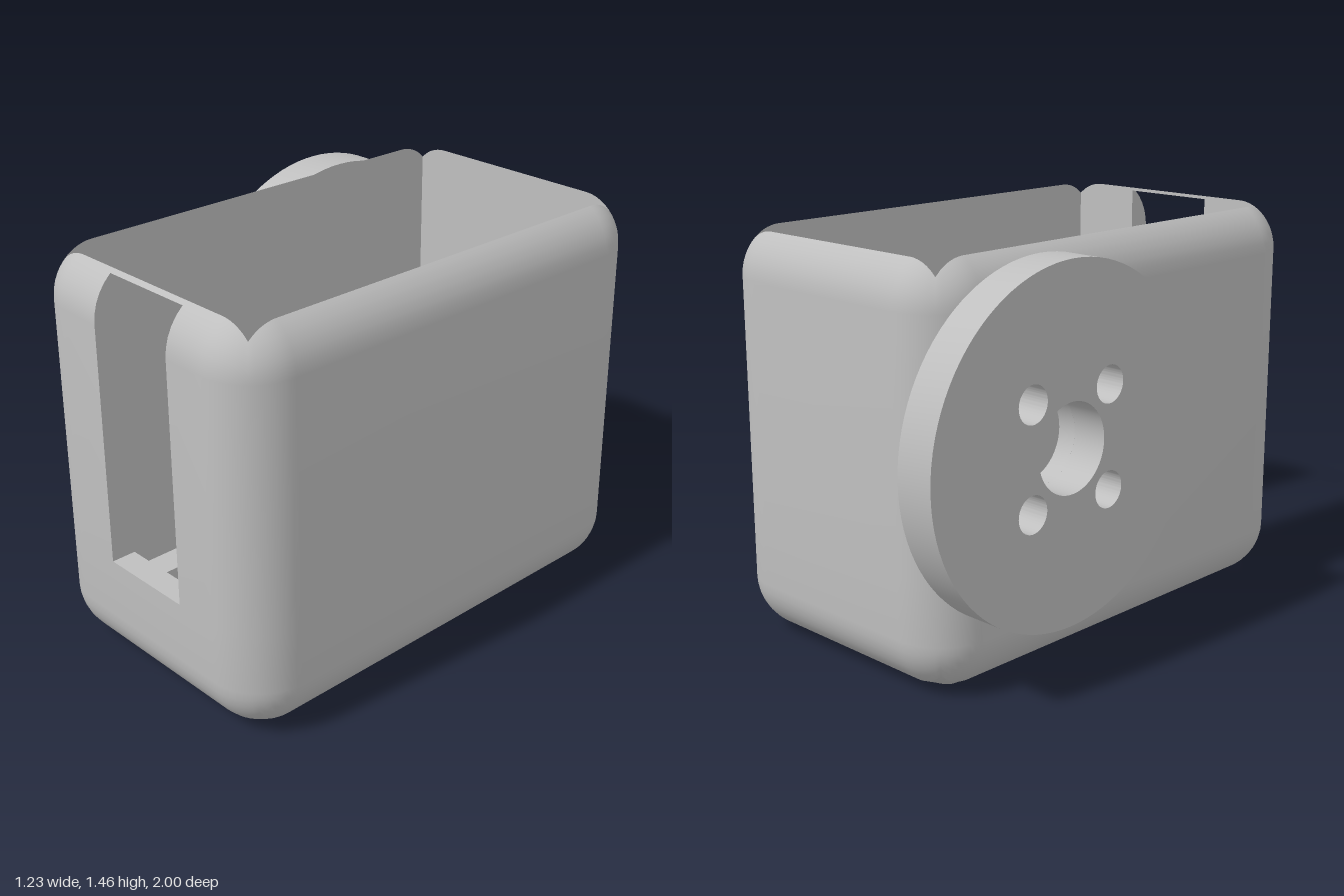
import * as THREE from 'three';
import { mergeGeometries, toCreasedNormals } from 'three/addons/utils/BufferGeometryUtils.js';

const R = 0.2, CX = 0.0625, CZ = 0.075, HX = 0.3475, HZ = 0.725; // fillet radius, fillet-centre rectangle
const CAV = { x0: -0.4, x1: 0.525, z0: -0.77, z1: 0.91 };         // cavity in plan
const FLOOR = 0.15, SHELF = 0.1, POCKET = 0.08, TOP = 1.29;
const SLOT = { x0: -0.12, x1: 0.245, y0: 0.42, y1: 1.445 };
const DISC = { y: 0.822, z: -0.385, r: 0.615, bore: 0.155 };
const SEG = 48;

const plan = (cx, cz, r, y) => Array.from({ length: SEG }, (_, i) => {
  const a = (i / SEG) * Math.PI * 2, x = cx + r * Math.cos(a), z = cz + r * Math.sin(a);
  return [x, typeof y === 'function' ? y(x, z) : y, z];
});
const rectPlan = (x0, x1, z0, z1, y) => [[x0, y, z0], [x1, y, z0], [x1, y, z1], [x0, y, z1]];

// Underside height with its rounded edges
function under(x, z) {
  const u = Math.max(Math.abs(x - CX) - HX, 0), v = Math.max(Math.abs(z - CZ) - HZ, 0);
  return R - Math.sqrt(Math.max(R * R - u * u - v * v, 0));
}

function shapeOf(points, holes = []) {
  const s = new THREE.Shape(points.map(([a, b]) => new THREE.Vector2(a, b)));
  s.holes = holes.map(h => new THREE.Path(h.map(([a, b]) => new THREE.Vector2(a, b))));
  return s;
}
const bare = g => {
  const n = g.index ? g.toNonIndexed() : g;
  n.deleteAttribute('uv');
  n.deleteAttribute('normal');
  return n;
};

function shellGeometry() {
  const pos = [];
  const quad = (a, b, c, d) => pos.push(...a, ...b, ...c, ...a, ...c, ...d);
  const band = (A, B) => A.forEach((p, i) => {
    const k = (i + 1) % A.length;
    quad(p, B[i], B[k], A[k]);
  });
  const sweep = loops => loops.slice(1).forEach((l, i) => band(loops[i], l));

  // Columns around the rounded outline; each arc ends on the cavity rectangle
  const cols = [];
  for (const [sx, sz] of [[1, 1], [-1, 1], [-1, -1], [1, -1]]) {
    const x = CX + sx * HX, z = CZ + sz * HZ;
    const u = Math.abs((sx > 0 ? CAV.x1 : CAV.x0) - x), v = Math.abs((sz > 0 ? CAV.z1 : CAV.z0) - z);
    const mid = Math.atan2(v, u), list = [];
    for (let k = 0; k <= 16; k++) {
      const p = k <= 8 ? mid * k / 8 : mid + (Math.PI / 2 - mid) * (k - 8) / 8;
      const c = Math.cos(p), s = Math.sin(p);
      list.push({ x, z, dx: c * sx, dz: s * sz, t: Math.acos(Math.min(u / Math.max(c, 1e-6), v / Math.max(s, 1e-6)) / R) });
    }
    cols.push(...(sx * sz > 0 ? list : list.reverse()));
    if (sx > 0 && sz > 0) {
      const last = cols[cols.length - 1];
      cols.push({ ...last, x: SLOT.x1 }, { ...last, x: SLOT.x0 });
    }
  }
  const slotCol = 17, leftCol = 35; // segments holding the slot and the flat side panel

  // Rows from the underside rim to the open top rim
  const tFront = cols[slotCol].t;
  const f = [0, 0.18, 0.36, 0.54, 0.72, Math.asin((SLOT.y1 - TOP) / R) / tFront, 1];
  const rows = [...f.map(v => [R, -1, v]).reverse(), [SLOT.y0, 0, 0], ...f.map(v => [TOP, 1, v])];
  const P = (i, j) => {
    const c = cols[i % cols.length], [y, s, k] = rows[j], r = R * Math.cos(c.t * k);
    return [c.x + c.dx * r, y + s * R * Math.sin(c.t * k), c.z + c.dz * r];
  };
  const at = (p, y) => [p[0], y, p[2]];
  for (let i = 0; i < cols.length; i++) {
    for (let j = 0; j < 14; j++) {
      if (i === slotCol && j >= 7 && j < 13) continue;
      if (i === leftCol && j >= 6 && j < 8) continue;
      quad(P(i, j), P(i, j + 1), P(i + 1, j + 1), P(i + 1, j));
    }
    // Cavity wall below the rim
    const a = P(i, 14), b = P(i + 1, 14);
    const wall = (lo, ya, yb) => quad(at(a, lo), at(b, lo), at(b, yb), at(a, ya));
    if (i === slotCol) {
      wall(SLOT.y1, a[1], b[1]);
      wall(FLOOR, SLOT.y0, SLOT.y0);
    } else wall(FLOOR, a[1], b[1]);
  }

  // Slot jambs, sill and the underside of its thin bridge
  const back = p => [p[0], p[1], CAV.z1];
  for (let j = 7; j < 13; j++) {
    const a = P(slotCol, j), b = P(slotCol, j + 1), c = P(slotCol + 1, j), d = P(slotCol + 1, j + 1);
    quad(a, back(a), back(b), b);
    quad(c, d, back(d), back(c));
  }
  const s0 = P(slotCol, 7), s1 = P(slotCol + 1, 7), b0 = P(slotCol, 13), b1 = P(slotCol + 1, 13);
  quad(s0, back(s0), back(s1), s1);
  quad(b0, b1, back(b1), back(b0));

  // Underside, with four counterbored screw holes
  const xs = [CAV.x0, -0.22, 0.345, CAV.x1], zs = [CAV.z0, -0.17, 0.01, 0.72, CAV.z1];
  const screwHoles = [];
  for (let i = 0; i < 3; i++) for (let j = 0; j < 4; j++) {
    const [x0, x1, z0, z1] = [xs[i], xs[i + 1], zs[j], zs[j + 1]];
    if (i !== 1 && j % 2 === 1) {
      const cx = (x0 + x1) / 2, cz = (z0 + z1) / 2, r = 0.08;
      const edge = plan(0, 0, 1, 0).map(([c, , s]) => {
        const m = Math.max(Math.abs(c), Math.abs(s));
        const x = cx + c / m * (x1 - x0) / 2, z = cz + s / m * (z1 - z0) / 2;
        return [x, under(x, z), z];
      });
      sweep([plan(cx, cz, 0.047, FLOOR), plan(cx, cz, 0.047, SHELF), plan(cx, cz, r, SHELF), plan(cx, cz, r, under), edge]);
      screwHoles.push(plan(cx, cz, 0.047, FLOOR));
      continue;
    }
    const n = 8, g = (a, b) => {
      const x = x0 + (x1 - x0) * a / n, z = z0 + (z1 - z0) * b / n;
      return [x, under(x, z), z];
    };
    for (let a = 0; a < n; a++) for (let b = 0; b < n; b++) quad(g(a, b), g(a + 1, b), g(a + 1, b + 1), g(a, b + 1));
  }

  // Round and rectangular pockets in the cavity floor
  const round = y => plan(0.0625, -0.385, 0.384, y), rect = y => rectPlan(-0.29, 0.415, 0.07, 0.73, y);
  sweep([round(FLOOR), round(POCKET), plan(0.0625, -0.385, 0, POCKET)]);
  sweep([rect(FLOOR), rect(POCKET), rect(POCKET).map(() => [0.0625, POCKET, 0.4])]);

  // Blind bore in the side wall behind the disc
  const boreLoop = (x, r) => plan(0, 0, r, 0).map(([c, , s]) => [x, DISC.y + c, DISC.z + s]);
  sweep([boreLoop(-0.485, DISC.bore), boreLoop(-0.415, DISC.bore), boreLoop(-0.415, 0)]);

  const main = new THREE.BufferGeometry();
  main.setAttribute('position', new THREE.Float32BufferAttribute(pos, 3));

  // Cavity floor and flat side panel
  const flat = l => l.map(([x, , z]) => [x, -z]);
  const floor = new THREE.ShapeGeometry(shapeOf(flat(rectPlan(CAV.x0, CAV.x1, CAV.z0, CAV.z1, 0)),
    [...screwHoles, round(0), rect(0)].map(flat)));
  floor.rotateX(-Math.PI / 2).translate(0, FLOOR, 0);
  const side = new THREE.ShapeGeometry(shapeOf(
    [[CZ - HZ, R], [CZ + HZ, R], [CZ + HZ, TOP], [CZ - HZ, TOP]],
    [boreLoop(0, DISC.bore).map(([, y, z]) => [z, y])]));
  side.rotateY(-Math.PI / 2).translate(CX - HX - R, 0, 0);
  return toCreasedNormals(mergeGeometries([main, bare(floor), bare(side)]), 0.55);
}

// Side disc with a central bore and four bolt holes
function discGeometry() {
  const s = new THREE.Shape().absarc(0, 0, DISC.r, 0, Math.PI * 2);
  const hole = (x, y, r) => s.holes.push(new THREE.Path().absarc(x, y, r, 0, Math.PI * 2, true));
  hole(0, 0, DISC.bore);
  for (const a of [-0.18, 0.18]) for (const b of [-0.18, 0.18]) hole(a, b, 0.065);
  const g = new THREE.ExtrudeGeometry(s, { depth: 0.145, bevelEnabled: false, curveSegments: SEG });
  g.rotateY(-Math.PI / 2).translate(-0.47, DISC.y, DISC.z);
  return toCreasedNormals(g, 0.55);
}

export function createModel() {
  const grey = new THREE.MeshStandardMaterial({ color: 0xbfbfbf, side: THREE.DoubleSide });
  grey.name = 'light grey';
  const group = new THREE.Group();
  group.name = 'openHousing';
  for (const [name, geometry] of [['housingShell', shellGeometry()], ['sideDisc', discGeometry()]]) {
    const mesh = new THREE.Mesh(geometry, grey);
    mesh.name = name;
    group.add(mesh);
  }
  return group;
}
